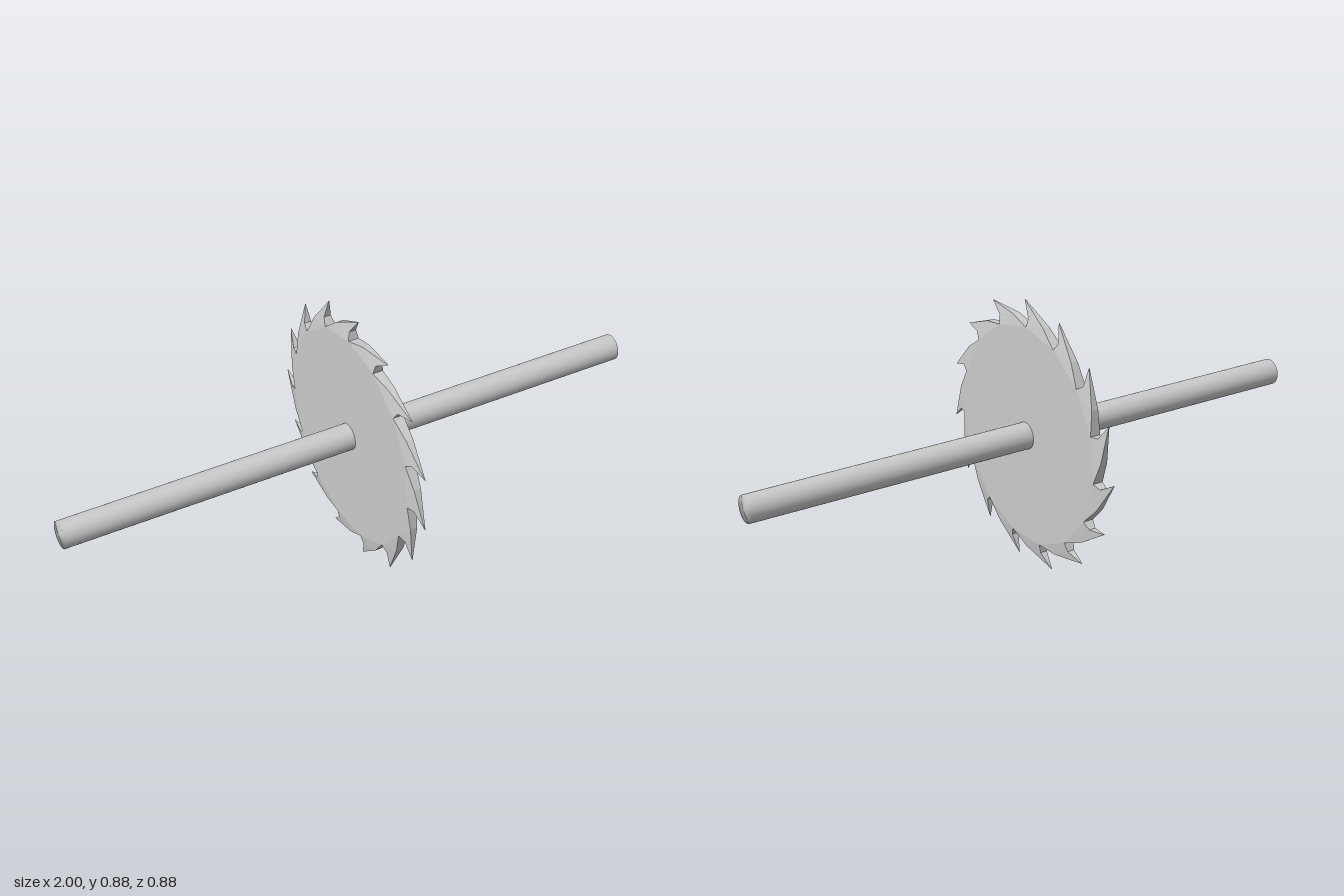
import * as THREE from 'three';
import { mergeVertices } from 'three/addons/utils/BufferGeometryUtils.js';

const CENTRE = 0.441;
const TEETH = 15;
const STEP = (Math.PI * 2) / TEETH;

const grey = (flatShading) => new THREE.MeshStandardMaterial({ color: 0xcccccc, flatShading });

// point on the blade: radius, angle clockwise from the top (seen from +x), half thickness
const polar = (r, a, half) => ({ y: r * Math.cos(a), z: -r * Math.sin(a), half });

function bladeGeometry() {
  const pos = [];
  const vert = (p, s) => pos.push(s * p.half, p.y, p.z);
  // triangle on both flat sides, wound counter-clockwise seen from +x
  const sides = (a, b, c) => {
    [a, b, c].forEach((p) => vert(p, 1));
    [a, c, b].forEach((p) => vert(p, -1));
  };
  // rim wall between two outline points
  const wall = (a, b) => {
    vert(a, 1); vert(a, -1); vert(b, -1);
    vert(a, 1); vert(b, -1); vert(b, 1);
  };

  const hub = { y: 0, z: 0, half: 0.018 };
  for (let i = 0; i < TEETH; i++) {
    const a = i * STEP;
    const root = polar(0.362, a, 0.018);
    const nextRoot = polar(0.362, a + STEP, 0.018);
    const back = polar(0.391, a + 0.22, 0.012);
    const tip = polar(0.444, a - 0.067, 0.001);
    const gullet = polar(0.391, a + 0.016, 0.012);

    // disc sector
    sides(hub, nextRoot, root);
    // hooked tooth, thinning towards its tip
    sides(back, tip, gullet);
    sides(back, gullet, root);
    sides(back, root, nextRoot);
    const outline = [nextRoot, back, tip, gullet, root];
    for (let k = 0; k < 4; k++) wall(outline[k], outline[k + 1]);
  }

  const geo = new THREE.BufferGeometry();
  geo.setAttribute('position', new THREE.Float32BufferAttribute(pos, 3));
  geo.computeVertexNormals();
  return geo;
}

function shaftGeometry() {
  let geo = new THREE.CylinderGeometry(0.044, 0.044, 2, 32);
  // share normals between wall and caps for softly shaded ends
  geo.deleteAttribute('uv');
  geo.deleteAttribute('normal');
  geo = mergeVertices(geo);
  geo.computeVertexNormals();
  return geo.rotateZ(Math.PI / 2);
}

export function createModel() {
  const model = new THREE.Group();
  model.name = 'sawBladeOnShaft';

  const blade = new THREE.Mesh(bladeGeometry(), grey(true));
  blade.name = 'sawBlade';
  blade.position.y = CENTRE;

  const shaft = new THREE.Mesh(shaftGeometry(), grey(false));
  shaft.name = 'shaft';
  shaft.position.y = CENTRE;

  model.add(blade, shaft);
  return model;
}
